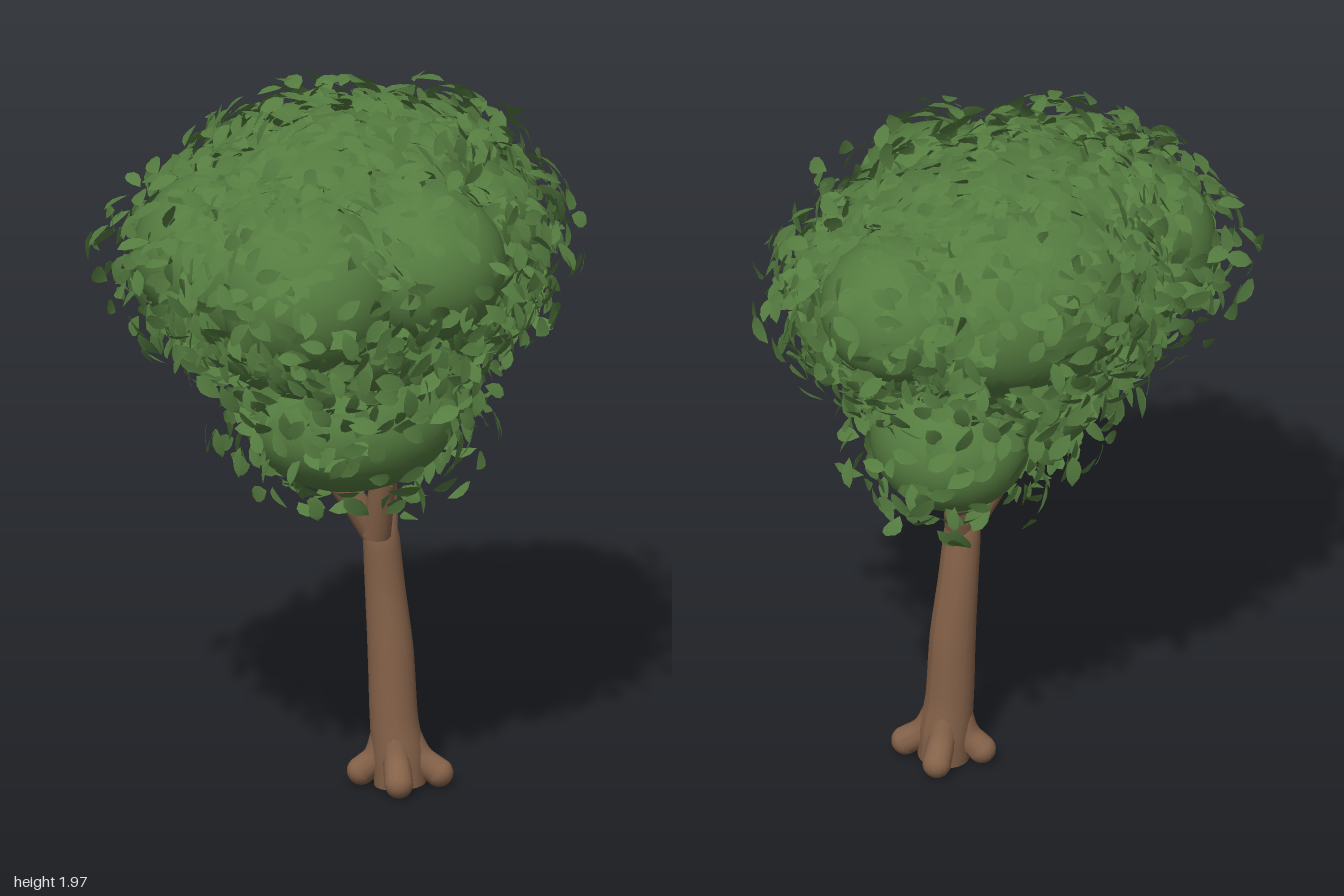
import * as THREE from 'three';
import { mergeGeometries } from 'three/addons/utils/BufferGeometryUtils.js';

const V = (x, y, z) => new THREE.Vector3(x, y, z);

// Seeded random numbers, so the leaves always fall the same way
function makeRandom(seed) {
  return () => {
    seed = (seed * 1664525 + 1013904223) >>> 0;
    return seed / 4294967296;
  };
}

// Tube along points [x, y, z, radius], closed by discs at both ends
function taperedTube(points, steps, sides) {
  const path = new THREE.CatmullRomCurve3(points.map(p => V(p[0], p[1], p[2])));
  const geo = new THREE.TubeGeometry(path, steps, 1, sides);
  const pos = geo.attributes.position;
  const v = V(0, 0, 0);
  const centres = [];
  for (let i = 0; i <= steps; i++) {
    const t = path.getUtoTmapping(i / steps) * (points.length - 1);
    const k = Math.min(Math.floor(t), points.length - 2);
    const r = THREE.MathUtils.lerp(points[k][3], points[k + 1][3], t - k);
    const c = path.getPointAt(i / steps);
    centres.push(c);
    for (let j = 0; j <= sides; j++) {
      const n = i * (sides + 1) + j;
      v.fromBufferAttribute(pos, n).sub(c).multiplyScalar(r).add(c);
      pos.setXYZ(n, v.x, v.y, v.z);
    }
  }
  geo.computeVertexNormals();
  const caps = [0, steps].map(i => {
    const tangent = path.getTangentAt(i / steps).multiplyScalar(i ? 1 : -1);
    const cap = new THREE.CircleGeometry(points[i ? points.length - 1 : 0][3], sides);
    cap.applyQuaternion(new THREE.Quaternion().setFromUnitVectors(V(0, 0, 1), tangent));
    return cap.translate(centres[i].x, centres[i].y, centres[i].z);
  });
  return mergeGeometries([geo, ...caps]);
}

// Pointed leaf, slightly cupped and drooping at the tips
function leafGeometry() {
  const shape = new THREE.Shape();
  shape.moveTo(0, -0.5);
  shape.bezierCurveTo(0.36, -0.3, 0.36, 0.15, 0, 0.5);
  shape.bezierCurveTo(-0.36, 0.15, -0.36, -0.3, 0, -0.5);
  const geo = new THREE.ShapeGeometry(shape, 4);
  const pos = geo.attributes.position;
  for (let i = 0; i < pos.count; i++) {
    const x = pos.getX(i), y = pos.getY(i);
    pos.setZ(i, Math.abs(x) * 0.12 - y * y * 0.25);
  }
  geo.computeVertexNormals();
  return geo;
}

// Leaf clumps: centre, radii, leaf density
const CLUMPS = [
  { name: 'lowerFrontClump', c: [-0.11, 1.14, 0.06], r: [0.31, 0.21, 0.28], d: 0.7 },
  { name: 'lowerBackClump', c: [0.17, 1.14, -0.12], r: [0.22, 0.2, 0.23], d: 0.7 },
  { name: 'coreClump', c: [0, 1.5, -0.01], r: [0.43, 0.3, 0.4], d: 1.3 },
  { name: 'lowerRightClump', c: [-0.22, 1.43, 0.07], r: [0.34, 0.2, 0.31], d: 1 },
  { name: 'frontClump', c: [-0.06, 1.62, 0.28], r: [0.24, 0.22, 0.25], d: 0.6 },
  { name: 'rightFrontClump', c: [-0.36, 1.58, 0.16], r: [0.26, 0.24, 0.25], d: 0.9 },
  { name: 'rightMiddleClump', c: [-0.41, 1.6, 0], r: [0.22, 0.22, 0.22], d: 1.1 },
  { name: 'rightBackClump', c: [-0.37, 1.61, -0.17], r: [0.26, 0.23, 0.25], d: 1.2 },
  { name: 'leftBackClump', c: [0.4, 1.66, -0.2], r: [0.21, 0.2, 0.22], d: 1 },
  { name: 'leftFrontClump', c: [0.25, 1.57, 0.06], r: [0.28, 0.25, 0.24], d: 1.5 },
  { name: 'backClump', c: [0.06, 1.64, -0.31], r: [0.36, 0.26, 0.25], d: 1.2 },
  { name: 'topClump', c: [-0.01, 1.73, -0.1], r: [0.46, 0.18, 0.35], d: 1.8 },
];

function insideClump(p, clump) {
  const q = p.map((v, i) => (v - clump.c[i]) / clump.r[i]);
  return Math.hypot(...q) < 0.98;
}

// Leaves scattered just above the open surface of every clump
function scatterLeaves() {
  const rand = makeRandom(71);
  const leaf = leafGeometry();
  const leaves = [];
  const dummy = new THREE.Object3D();
  for (const clump of CLUMPS) {
    const area = clump.r[0] * clump.r[1] + clump.r[1] * clump.r[2] + clump.r[0] * clump.r[2];
    const count = Math.round(area * 1800 * clump.d);
    for (let i = 0; i < count; i++) {
      const y = rand() * 2 - 1, a = rand() * Math.PI * 2, s = Math.sqrt(1 - y * y);
      const dir = V(s * Math.cos(a), y, s * Math.sin(a));
      const lift = 0.005 + (0.12 - 0.06 * Math.max(y, 0)) * rand() ** 1.4;
      const p = dir.toArray().map((v, k) => clump.c[k] + v * (clump.r[k] + lift));
      const tilt = [rand(), rand(), rand(), rand(), rand()];
      if (CLUMPS.some(other => insideClump(p, other))) continue;
      dummy.position.set(...p);
      dummy.lookAt(p[0] + dir.x + tilt[0] - 0.5, p[1] + dir.y + tilt[1] * 1.2 - 0.4, p[2] + dir.z + tilt[2] - 0.5);
      dummy.rotateZ(tilt[3] * Math.PI * 2);
      dummy.rotateX((tilt[4] - 0.5) * 0.8);
      const size = 0.07 + 0.03 * rand();
      dummy.scale.set(size, size, size);
      dummy.updateMatrix();
      leaves.push(leaf.clone().applyMatrix4(dummy.matrix));
    }
  }
  return mergeGeometries(leaves);
}

export function createModel() {
  const tree = new THREE.Group();
  tree.name = 'tree';
  const bark = new THREE.MeshStandardMaterial({ name: 'bark brown', color: 0x856249 });
  const foliage = new THREE.MeshStandardMaterial({ name: 'foliage green', color: 0x557c40 });
  const leafGreen = new THREE.MeshStandardMaterial({ name: 'leaf green', color: 0x557c40, side: THREE.DoubleSide });

  const add = (name, geo, mat, parent = tree) => {
    const mesh = new THREE.Mesh(geo, mat);
    mesh.name = name;
    parent.add(mesh);
    return mesh;
  };

  // Gently bent trunk with a rounded shoulder
  add('trunk', taperedTube([
    [0.078, 0.015, 0.053, 0.072], [0.075, 0.1, 0.048, 0.074], [0.067, 0.2, 0.04, 0.067],
    [0.063, 0.4, 0.03, 0.064], [0.052, 0.58, 0.02, 0.056],
    [0.038, 0.73, 0.02, 0.051], [0.035, 0.775, 0.02, 0.043], [0.035, 0.79, 0.02, 0.03],
  ], 40, 20), bark);

  // Four knobbly roots on the diagonals, each with a ridge running up the trunk
  const roots = new THREE.Group();
  roots.name = 'roots';
  tree.add(roots);
  for (let i = 0; i < 4; i++) {
    const a = Math.PI / 4 + i * Math.PI / 2;
    const cos = Math.cos(a), sin = Math.sin(a);
    const x = 0.078 + cos * 0.105, z = 0.053 + sin * 0.11;
    add('rootKnob', new THREE.SphereGeometry(0.04, 16, 12), bark, roots).position.set(x, 0.048, z);
    add('rootRidge', taperedTube([[x, 0.048, z, 0.04], [0.075 + cos * 0.06, 0.09, 0.048 + sin * 0.06, 0.038],
      [0.07 + cos * 0.03, 0.17, 0.042 + sin * 0.03, 0.035]], 8, 14), bark, roots);
  }

  // Blunt branches rising into the foliage
  const branches = new THREE.Group();
  branches.name = 'branches';
  tree.add(branches);
  [
    [[0.01, 0.76, 0.02, 0.042], [-0.05, 0.86, -0.005, 0.037], [-0.12, 0.97, -0.04, 0.033]],
    [[0.05, 0.76, 0.015, 0.042], [0.085, 0.87, -0.02, 0.036], [0.14, 1.0, -0.065, 0.032]],
    [[0.005, 0.755, 0.035, 0.042], [-0.008, 0.87, 0.07, 0.038], [-0.02, 1.0, 0.115, 0.033]],
  ].forEach(points => add('branch', taperedTube(points, 12, 14), bark, branches));

  // Rounded foliage masses
  const crown = new THREE.Group();
  crown.name = 'crown';
  tree.add(crown);
  for (const clump of CLUMPS) {
    const mesh = add(clump.name, new THREE.SphereGeometry(1, 32, 20), foliage, crown);
    mesh.position.set(...clump.c);
    mesh.scale.set(...clump.r);
  }
  add('leaves', scatterLeaves(), leafGreen, crown);
  return tree;
}
